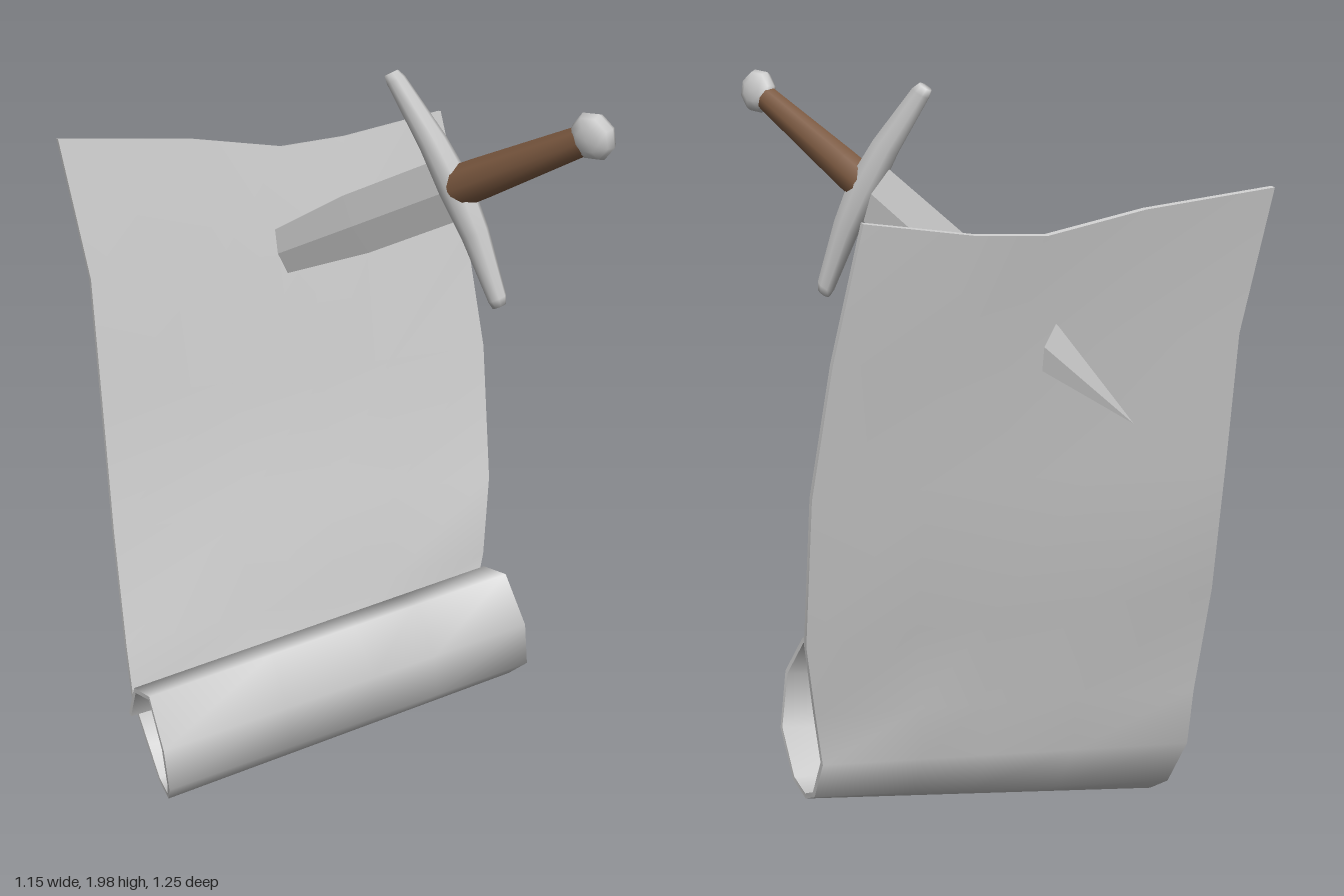
import * as THREE from 'three';
import { mergeGeometries } from 'three/addons/utils/BufferGeometryUtils.js';

const material = (color = 0xcccccc) => new THREE.MeshStandardMaterial({ color });

function addMesh(parent, name, geometry, mat) {
  const mesh = new THREE.Mesh(geometry, mat);
  mesh.name = name;
  parent.add(mesh);
  return mesh;
}

// Grid surface: rows run down, columns run to the right when seen from its front.
function patch(rows, cols, pointAt) {
  const positions = [], index = [];
  for (let i = 0; i < rows; i++)
    for (let j = 0; j < cols; j++) {
      positions.push(...pointAt(i, j).toArray());
      if (i === rows - 1 || j === cols - 1) continue;
      const a = i * cols + j, c = a + cols;
      index.push(a, c, a + 1, a + 1, c, c + 1);
    }
  const geometry = new THREE.BufferGeometry();
  geometry.setAttribute('position', new THREE.Float32BufferAttribute(positions, 3));
  geometry.setIndex(index);
  geometry.computeVertexNormals();
  return geometry;
}

// The two side edges of the sheet, from the top down and around the curl.
const LEFT_EDGE = [
  [0.49, 1.71, -0.375], [0.545, 1.38, -0.315], [0.575, 1.05, -0.25], [0.57, 0.66, -0.185],
  [0.525, 0.45, -0.13], [0.515, 0.32, -0.145], [0.515, 0.21, -0.09], [0.5, 0.165, 0],
  [0.49, 0.175, 0.1], [0.475, 0.28, 0.21], [0.445, 0.43, 0.235], [0.43, 0.55, 0.15],
  [0.435, 0.51, 0.03], [0.45, 0.36, 0],
];
const RIGHT_EDGE = [
  [-0.54, 1.745, -0.525], [-0.5, 1.38, -0.46], [-0.505, 1.05, -0.42], [-0.515, 0.68, -0.365],
  [-0.53, 0.36, -0.28], [-0.525, 0.2, -0.265], [-0.51, 0.065, -0.2], [-0.515, 0.005, -0.11],
  [-0.525, 0.01, -0.02], [-0.56, 0.12, 0.08], [-0.58, 0.27, 0.105], [-0.58, 0.39, 0.02],
  [-0.58, 0.35, -0.09], [-0.58, 0.24, -0.14],
];
const COLUMNS = [0, 0.33, 0.57, 0.74, 1];
const TOP_DIP = [0, -0.025, -0.065, -0.05, 0];
const THICKNESS = 0.014;

function sheetGeometry() {
  const rows = LEFT_EDGE.length, cols = COLUMNS.length;
  const back = (i, j) => {
    const p = new THREE.Vector3(...RIGHT_EDGE[i]).lerp(new THREE.Vector3(...LEFT_EDGE[i]), COLUMNS[j]);
    if (i === 0) p.y += TOP_DIP[j];
    return p;
  };
  // The front surface is the back one pushed along its profile normal.
  const front = (i, j) => {
    const t = back(Math.min(i + 1, rows - 1), j).sub(back(Math.max(i - 1, 0), j));
    const normal = new THREE.Vector3(0, t.z, -t.y).normalize();
    return back(i, j).addScaledVector(normal, THICKNESS);
  };
  const last = rows - 1, end = cols - 1;
  return mergeGeometries([
    patch(rows, cols, front),
    patch(rows, cols, (i, j) => back(i, end - j)),
    patch(rows, 2, (i, k) => (k ? front : back)(i, 0)),
    patch(rows, 2, (i, k) => (k ? back : front)(i, end)),
    patch(2, cols, (k, j) => (k ? front : back)(0, j)),
    patch(2, cols, (k, j) => (k ? back : front)(last, j)),
  ]);
}

// Turned profile of [radius, height] pairs, flattened in depth.
function turned(profile, sides, flatten) {
  const geometry = new THREE.LatheGeometry(profile.map(([r, y]) => new THREE.Vector2(r, y)), sides);
  return geometry.scale(1, 1, flatten);
}

// Dagger with its point at the origin and its pommel up +y; the guard runs along x.
function createDagger() {
  const dagger = new THREE.Group();
  dagger.name = 'dagger';
  const steel = material();

  const blade = turned([[0, 0], [0.06, 0.3], [0.08, 0.62], [0.078, 0.98], [0, 0.98]], 4, 0.18).toNonIndexed();
  blade.computeVertexNormals();
  addMesh(dagger, 'blade', blade, steel);

  // Crossguard: thick in the middle, blunt ends bent towards the point.
  const guard = turned(
    [[0, -0.31], [0.02, -0.31], [0.027, -0.29], [0.04, -0.12], [0.048, 0],
     [0.04, 0.12], [0.027, 0.29], [0.02, 0.31], [0, 0.31]], 8, 0.75);
  guard.rotateZ(-Math.PI / 2);
  const pos = guard.attributes.position;
  for (let i = 0; i < pos.count; i++) pos.setY(i, pos.getY(i) - 0.35 * pos.getX(i) ** 2);
  addMesh(dagger, 'crossguard', guard, steel).position.y = 0.995;

  addMesh(dagger, 'grip', turned([[0.052, 1.0], [0.05, 1.08], [0.035, 1.41]], 8, 0.72), material(0x7d5a41));

  const pommel = new THREE.SphereGeometry(0.058, 8, 6).rotateX(Math.PI / 2).scale(1, 1, 0.55);
  addMesh(dagger, 'pommel', pommel, steel).position.y = 1.445;
  return dagger;
}

export function createModel() {
  const model = new THREE.Group();
  model.name = 'pinnedScroll';
  addMesh(model, 'sheet', sheetGeometry(), material());

  // Aim the dagger down through the sheet.
  const dagger = createDagger();
  const tip = new THREE.Vector3(-0.07, 1.24, -0.635);
  const along = new THREE.Vector3(0.335, 1.942, 0.58).sub(tip).normalize();
  const depth = new THREE.Vector3(-0.165, 0.535, -0.25).cross(along).normalize();
  const across = along.clone().cross(depth);
  dagger.quaternion.setFromRotationMatrix(new THREE.Matrix4().makeBasis(across, along, depth));
  dagger.position.copy(tip);
  model.add(dagger);
  return model;
}
